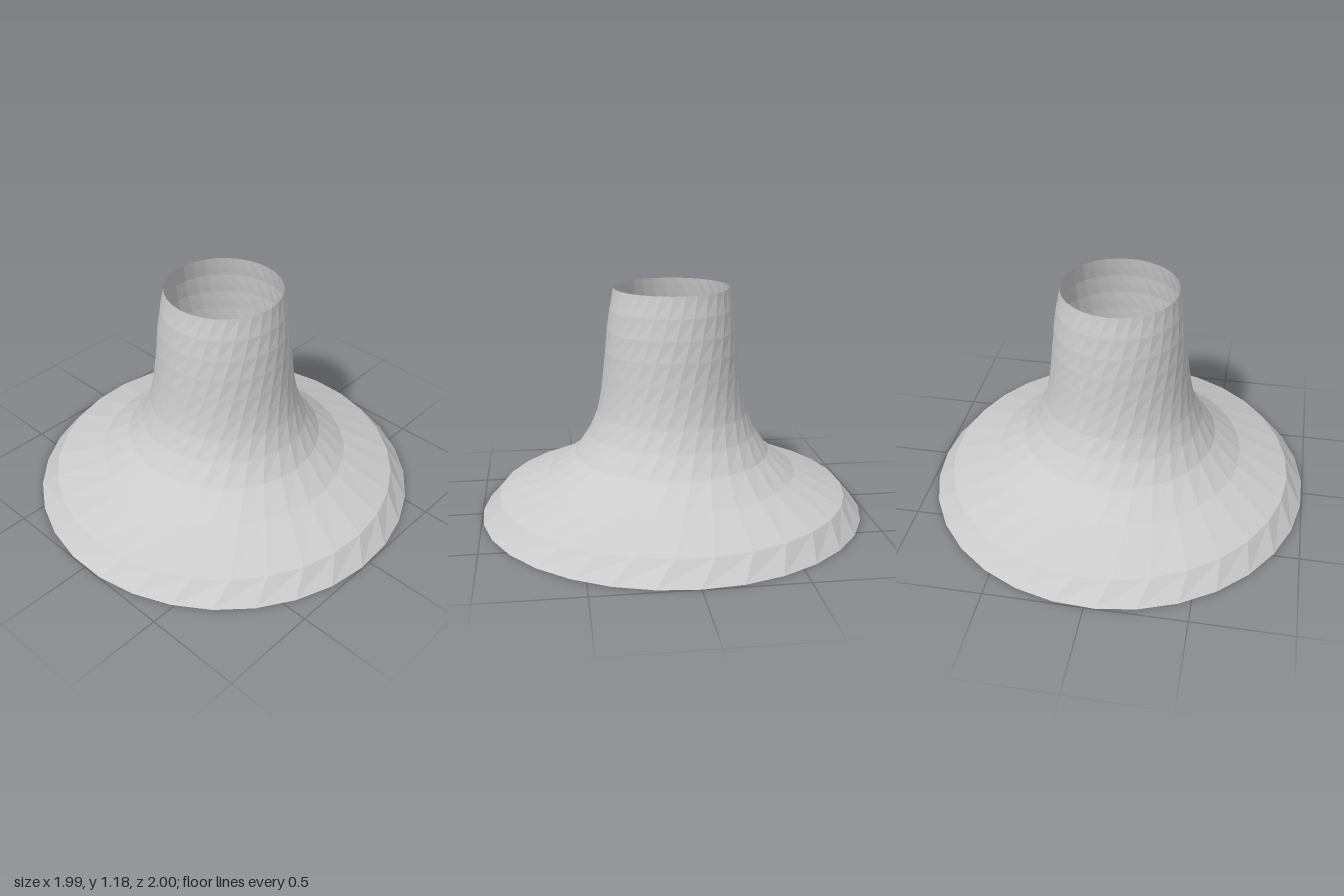
import * as THREE from 'three';

const SIDES = 31;
const HEIGHT = 1.18;
const TWIST = Math.PI; // total turn from the rim to the mouth
// Ring radii, evenly spaced in height from the rim up
const RADII = [1, 0.91, 0.65, 0.51, 0.435, 0.39, 0.367, 0.353, 0.343, 0.332, 0.317, 0.296];

// Open flared skin: stacked polygon rings, each turned a little further than the one below
function twistedFlare() {
  const rows = RADII.length - 1;
  const positions = [];
  const indices = [];
  RADII.forEach((radius, i) => {
    for (let j = 0; j < SIDES; j++) {
      const angle = (j / SIDES) * Math.PI * 2 + (i / rows) * TWIST;
      positions.push(radius * Math.cos(angle), (i / rows) * HEIGHT, -radius * Math.sin(angle));
    }
  });
  for (let i = 0; i < rows; i++) {
    for (let j = 0; j < SIDES; j++) {
      const next = (j + 1) % SIDES;
      const a = i * SIDES + j;
      const b = i * SIDES + next;
      const c = a + SIDES;
      const d = b + SIDES;
      indices.push(a, b, c, b, d, c);
    }
  }
  const geometry = new THREE.BufferGeometry();
  geometry.setAttribute('position', new THREE.Float32BufferAttribute(positions, 3));
  geometry.setIndex(indices);
  const faceted = geometry.toNonIndexed();
  faceted.computeVertexNormals();
  return faceted;
}

export function createModel() {
  const group = new THREE.Group();
  group.name = 'twistedFunnel';
  const material = new THREE.MeshStandardMaterial({
    color: 0xcccccc,
    flatShading: true,
    side: THREE.DoubleSide,
  });
  const flare = new THREE.Mesh(twistedFlare(), material);
  flare.name = 'flaredTube';
  group.add(flare);
  return group;
}
